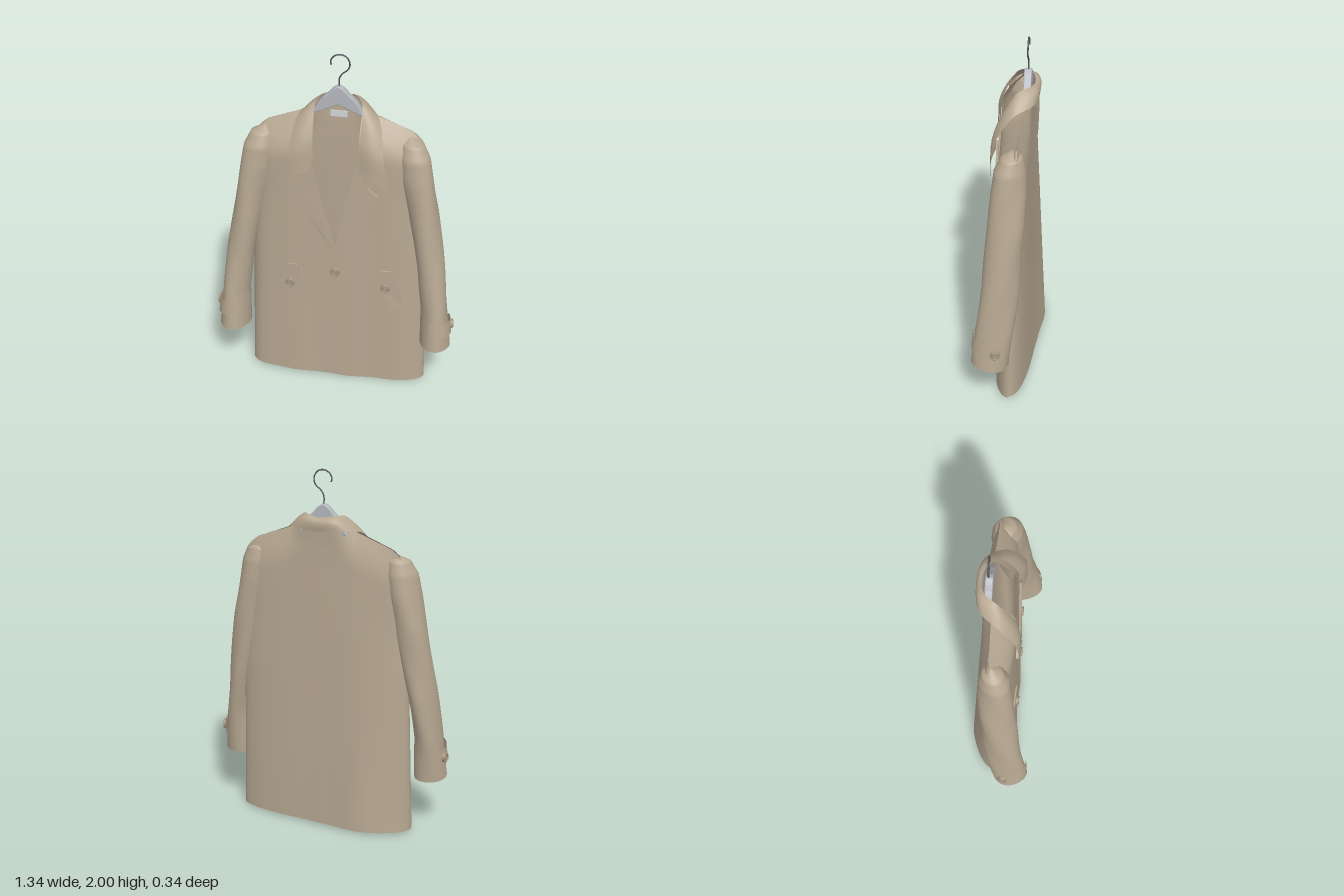
import * as THREE from 'three';
import { mergeVertices } from 'three/addons/utils/BufferGeometryUtils.js';

const CX = 0.02; // centre line of the coat
const lerp = THREE.MathUtils.lerp;
const material = (name, color, side = THREE.FrontSide) => {
  const m = new THREE.MeshStandardMaterial({ color, side });
  m.name = name;
  return m;
};

// Piecewise linear lookup in [[in, out], ...]
function pick(table, x) {
  if (x <= table[0][0]) return table[0][1];
  for (let i = 1; i < table.length; i++) {
    const [a, p] = table[i - 1], [b, q] = table[i];
    if (x <= b) return lerp(p, q, (x - a) / (b - a));
  }
  return table[table.length - 1][1];
}

// Smooth sheet from fn(u, v) -> [x, y, z]
function sheet(fn, nu, nv) {
  const pos = [], index = [];
  for (let j = 0; j <= nv; j++) for (let i = 0; i <= nu; i++) pos.push(...fn(i / nu, j / nv));
  for (let j = 0; j < nv; j++) for (let i = 0; i < nu; i++) {
    const a = j * (nu + 1) + i, b = a + 1, c = a + nu + 1, d = c + 1;
    index.push(a, b, d, a, d, c);
  }
  let g = new THREE.BufferGeometry();
  g.setAttribute('position', new THREE.Float32BufferAttribute(pos, 3));
  g.setIndex(index);
  g = mergeVertices(g, 1e-5);
  g.computeVertexNormals();
  return g;
}

// Coat outline and depth rules
const halfWidth = y => pick([[0, 0.5], [0.9, 0.475], [1.2, 0.45], [1.5, 0.45], [1.6, 0.44]], y);
const shoulderY = x => pick([[0.12, 1.73], [0.2, 1.675], [0.4, 1.6], [0.44, 1.565], [0.46, 1.53]], Math.abs(x - CX));
const middleZ = y => lerp(-0.02, -0.06, y / 1.7);
const rise = d => (d >= 0.2 ? 1 : Math.sin((Math.PI / 2) * Math.max(0, d) / 0.2));
const edge = (u, p) => Math.sqrt(Math.max(0, 1 - Math.abs(u) ** p));
const ease = t => Math.sin((Math.PI / 2) * t);

function frontZ(x, y) {
  const u = THREE.MathUtils.clamp((x - CX) / halfWidth(y), -1, 1);
  const z = 0.08 - 0.01 * y - 0.02 * Math.max(0, u) + 0.004 * Math.sin(11 * u) * (1 - y / 1.7);
  return lerp(middleZ(y), z, rise(shoulderY(x) - y) * edge(u, 6));
}

function backZ(x, y) {
  const u = THREE.MathUtils.clamp((x - CX) / halfWidth(y), -1, 1);
  const hem = -0.14 - 0.035 * Math.exp(-(((u + 0.5) / 0.35) ** 2)) + 0.04 * Math.max(0, u);
  const z = lerp(hem, -0.105, Math.min(1, y / 1.5));
  const neck = -0.05 * THREE.MathUtils.smoothstep(0.17 - Math.abs(x - CX), 0, 0.1);
  const top = middleZ(y) + neck * THREE.MathUtils.smoothstep(y, 1.4, 1.65);
  return lerp(top, z, rise(shoulderY(x) - y) * edge(u, 4));
}

// Sleeve sections: [y, x centre, z centre, x radius, z radius]
const SLEEVE = [
  [0.32, 0.57, 0.07, 0.085, 0.1], [0.55, 0.56, 0.047, 0.073, 0.1], [0.8, 0.528, 0.02, 0.075, 0.1],
  [1.15, 0.468, -0.008, 0.085, 0.095], [1.35, 0.43, -0.015, 0.088, 0.09], [1.47, 0.413, -0.02, 0.082, 0.08],
  [1.54, 0.4, -0.03, 0.06, 0.055], [1.575, 0.385, -0.04, 0.005, 0.005],
];
const sleeveAt = (y, k) => pick(SLEEVE.map(r => [r[0], r[k]]), y);
function sleevePoint(side, a, y, grow = 0) {
  const [x, z, rx, rz] = [1, 2, 3, 4].map(k => sleeveAt(y, k));
  return [CX * 0.5 + side * (x + (rx + grow) * Math.cos(a)), y, z + (rz + grow) * Math.sin(a) + 0.1 * rx * Math.cos(a)];
}

export function createModel() {
  const model = new THREE.Group();
  const cloth = material('coat cloth', 0xb6a791, THREE.DoubleSide);
  const buttonMat = material('button', 0xa59680);
  const grey = material('hanger grey', 0xb4b7bd);
  const wire = material('hook metal', 0x55565a);
  const lining = material('label and lining', 0xd2d5d9, THREE.DoubleSide);
  const add = (name, geometry, mat) => {
    const mesh = new THREE.Mesh(geometry, mat);
    mesh.name = name;
    model.add(mesh);
    return mesh;
  };

  // Back panel
  add('backPanel', sheet((s, v) => {
    const u = Math.sin((s - 0.5) * Math.PI);
    const y = lerp(0.015, shoulderY(CX + u * 0.46), ease(v));
    const x = CX + u * halfWidth(y);
    return [x, y, backZ(x, y)];
  }, 56, 40), cloth);

  // Front panels: the right one overlaps the left one
  const frontPanel = (name, side, hem, opening, shift) => add(name, sheet((s, v) => {
    const t = ease(s);
    const y = lerp(hem, shoulderY(CX + side * lerp(0.12, 0.46, t)), ease(v));
    const x = lerp(pick(opening, y), CX + side * halfWidth(y), t);
    return [x, y, frontZ(x, y) + shift * (1 - t)];
  }, 32, 48), cloth);
  frontPanel('rightFrontPanel', -1, 0.02,
    [[0, 0.125], [0.2, 0.105], [0.5, 0.085], [0.8, 0.06], [0.88, 0.03], [1.2, -0.05], [1.45, -0.1], [1.74, -0.11]], 0.006);
  frontPanel('leftFrontPanel', 1, 0.005,
    [[0, -0.08], [0.7, -0.04], [0.88, 0.015], [1.2, 0.075], [1.45, 0.135], [1.74, 0.14]], -0.012);

  // Neck facing and label inside the back
  add('neckFacing', sheet((s, v) => {
    const x = CX + (s - 0.5) * 0.26, y = lerp(1.48 + 0.2 * (s - 0.5) ** 2, 1.7, v);
    return [x, y, backZ(x, y) + 0.008];
  }, 12, 8), cloth);
  add('neckLabel', new THREE.BoxGeometry(0.09, 0.035, 0.006), lining).position.set(0.012, 1.655, -0.075);

  // Sleeves with an inner lining near the cuff
  for (const side of [-1, 1]) {
    const name = side > 0 ? 'left' : 'right';
    const rows = new THREE.CatmullRomCurve3(SLEEVE.map(r => new THREE.Vector3(r[0], 0, 0)));
    add(name + 'Sleeve', sheet((s, v) => {
      const y = THREE.MathUtils.clamp(rows.getPoint(v).x, 0.32, 1.575);
      const a = s * Math.PI * 2;
      const p = sleevePoint(side, a, y, 0.004 * Math.sin(3 * a + 9 * y) * rise((1.575 - y) / 2));
      p[1] += y < 0.4 ? 0.012 * Math.sin(a) : 0;
      return p;
    }, 32, 42), cloth);
    add(name + 'SleeveLining', sheet((s, v) => {
      const p = sleevePoint(side, s * Math.PI * 2, 0.36, -0.012);
      return [lerp(CX * 0.5 + side * 0.567, p[0], v), 0.36, lerp(0.066, p[2], v)];
    }, 24, 1), lining);

    // Cuff strap with a pointed rear end
    add(name + 'CuffStrap', sheet((s, v) => {
      const a = lerp(-0.8, 1.75, s), half = s < 0.08 ? lerp(0.025, 0.045, s / 0.08) : 0.045;
      return sleevePoint(side, a, lerp(0.435, 0.485, s) + (v - 0.5) * 2 * half, 0.012);
    }, 25, 3), cloth);
  }

  // Collar, lofted from its fold line to its outer edge and mirrored
  const mirrored = pts => new THREE.CatmullRomCurve3([
    ...pts.map(([x, y, z]) => new THREE.Vector3(CX - x, y, z)),
    ...pts.slice(0, -1).reverse().map(([x, y, z]) => new THREE.Vector3(CX + x, y, z)),
  ]);
  const fold = mirrored([[0.12, 1.4, 0.078], [0.125, 1.57, 0.062], [0.12, 1.745, -0.03], [0.075, 1.76, -0.095], [0, 1.75, -0.118]]);
  const rim = mirrored([[0.275, 1.325, 0.09], [0.25, 1.5, 0.078], [0.215, 1.66, -0.02], [0.14, 1.69, -0.12], [0, 1.68, -0.14]]);
  add('collar', sheet((s, v) => {
    const p = fold.getPoint(s).lerp(rim.getPoint(s), v);
    const bulge = Math.sin(Math.PI * v) * 0.014;
    const back = THREE.MathUtils.smoothstep(0.5 - Math.abs(s - 0.5), 0.15, 0.45);
    return [p.x, p.y + bulge * back, p.z + bulge * (1 - 2 * back)];
  }, 56, 8), cloth);

  // Thin cloth pieces lying on the front
  const patch = (name, points, lift, depth) => {
    const g = new THREE.ExtrudeGeometry(new THREE.Shape(points.map(p => new THREE.Vector2(...p))), { depth, bevelEnabled: false });
    const p = g.attributes.position;
    for (let i = 0; i < p.count; i++) p.setZ(i, p.getZ(i) + lift + frontZ(p.getX(i), p.getY(i)));
    g.computeVertexNormals();
    add(name, g, cloth);
  };
  patch('rightLapel', [[-0.105, 1.46], [-0.16, 1.31], [-0.205, 1.27], [-0.175, 1.19], [-0.06, 1.0], [0.055, 0.84], [0.03, 0.89], [-0.05, 1.2]], 0.006, 0.014);
  patch('leftLapel', [[0.14, 1.46], [0.19, 1.3], [0.245, 1.25], [0.205, 1.16], [0.12, 0.96], [0.06, 0.83], [0.015, 0.9], [0.07, 1.2]], 0.002, 0.014);
  const flap = [[-0.25, 0.77], [-0.19, 0.77], [-0.185, 0.68], [-0.265, 0.53], [-0.31, 0.56], [-0.3, 0.66]];
  patch('rightPocketFlap', flap, 0.001, 0.009);
  patch('leftPocketFlap', flap.map(([x, y]) => [0.07 - x, y]), -0.003, 0.009);

  // Buttons: a disc, a raised rim and a centre ring
  const button = (name, x, y, z, turn = 0) => {
    const g = new THREE.Group();
    g.name = name;
    const disc = new THREE.Mesh(new THREE.CylinderGeometry(0.025, 0.027, 0.014, 20).rotateX(Math.PI / 2), buttonMat);
    const ring = new THREE.Mesh(new THREE.TorusGeometry(0.022, 0.004, 8, 24).translate(0, 0, 0.007), buttonMat);
    const eye = new THREE.Mesh(new THREE.TorusGeometry(0.009, 0.003, 6, 14).translate(0, 0, 0.007), buttonMat);
    g.add(disc, ring, eye);
    g.position.set(x, y, z);
    g.rotation.y = turn;
    model.add(g);
  };
  button('frontButton', 0.018, 0.748, frontZ(0.018, 0.748) + 0.012);
  button('rightPocketButton', -0.235, 0.648, frontZ(-0.235, 0.648) + 0.014);
  button('leftPocketButton', 0.295, 0.66, frontZ(0.295, 0.66) + 0.011);
  for (const side of [-1, 1]) {
    const [x, y, z] = sleevePoint(side, -0.25, 0.445, 0.016);
    button(side > 0 ? 'leftCuffButton' : 'rightCuffButton', x, y, z, side * (Math.PI / 2 + 0.2));
  }

  // Hanger shoulders
  const shape = new THREE.Shape();
  shape.moveTo(-0.13, 1.66);
  shape.quadraticCurveTo(-0.1, 1.73, -0.05, 1.77);
  shape.quadraticCurveTo(-0.02, 1.81, 0, 1.812);
  shape.quadraticCurveTo(0.02, 1.81, 0.05, 1.77);
  shape.quadraticCurveTo(0.1, 1.73, 0.13, 1.66);
  shape.quadraticCurveTo(0.06, 1.69, 0, 1.72);
  shape.quadraticCurveTo(-0.06, 1.69, -0.13, 1.66);
  add('hangerBody', new THREE.ExtrudeGeometry(shape, {
    depth: 0.024, bevelSize: 0.006, bevelThickness: 0.008, bevelSegments: 3, curveSegments: 8,
  }), grey).position.set(0.01, 0, -0.09);

  // Hanger hook
  const hook = [[0.012, 1.8], [0.012, 1.86], [0.028, 1.888], [0.058, 1.915], [0.066, 1.95], [0.047, 1.985],
    [0.014, 1.996], [-0.018, 1.983], [-0.034, 1.955], [-0.03, 1.935]];
  add('hangerHook', new THREE.TubeGeometry(
    new THREE.CatmullRomCurve3(hook.map(([x, y]) => new THREE.Vector3(x, y, -0.08))), 48, 0.004, 8), wire);

  return model;
}
